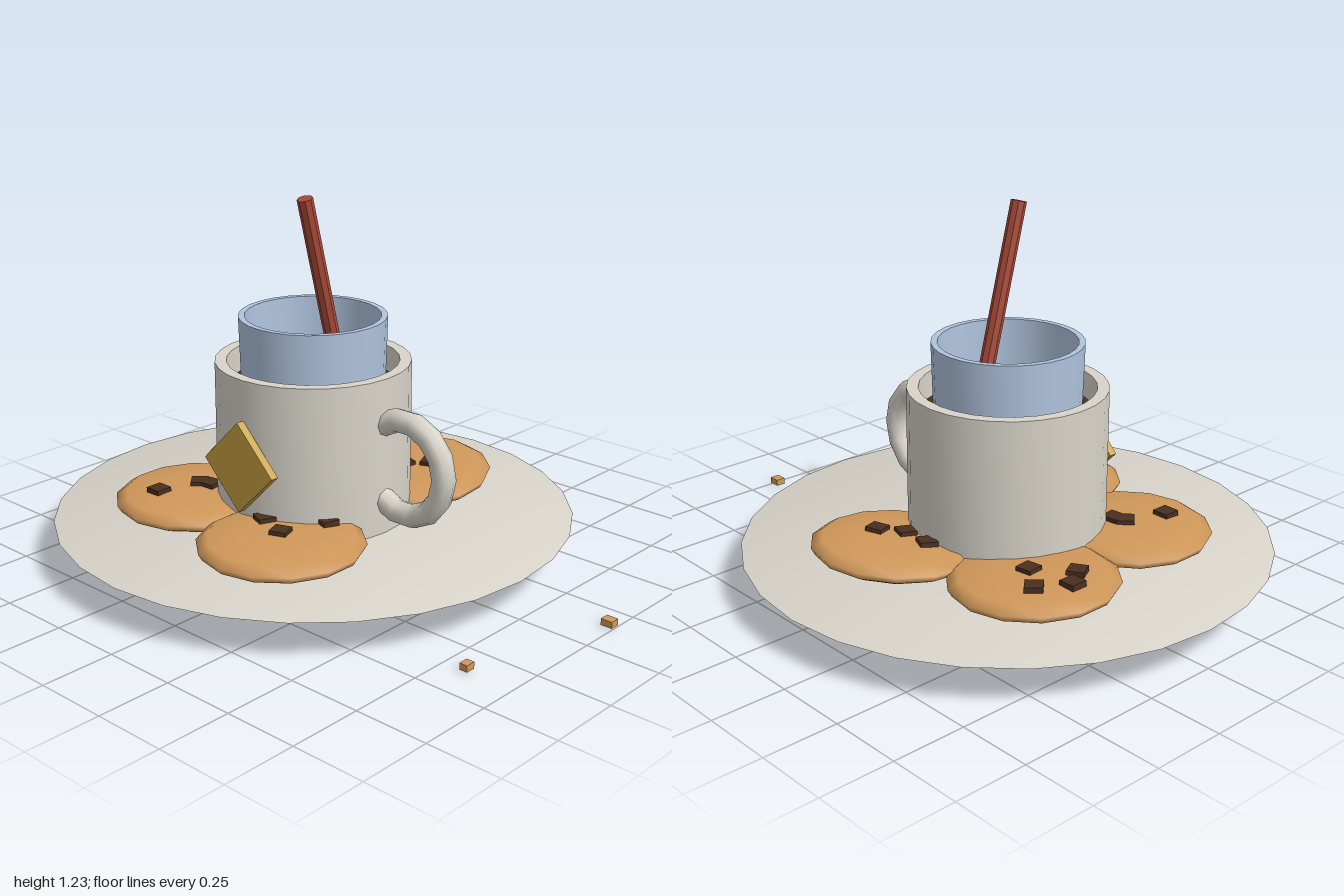
import * as THREE from 'three';
import { toCreasedNormals } from 'three/addons/utils/BufferGeometryUtils.js';

const CX = -0.125; // shared axis of saucer, mug and glass

function material(name, color) {
  const m = new THREE.MeshStandardMaterial({ color });
  m.name = name;
  return m;
}

function lathe(points, segments) {
  return new THREE.LatheGeometry(points.map(([r, y]) => new THREE.Vector2(r, y)), segments);
}

export function createModel() {
  const root = new THREE.Group();
  root.name = 'teaSet';
  const china = material('china', 0xd8d4ca);
  const glassBlue = material('paleBlue', 0xb0c4de);
  const biscuit = material('biscuit', 0xd0985a);
  const chocolate = material('chocolate', 0x4a3020);
  const cinnamon = material('cinnamon', 0xa84a38);
  const gold = material('gold', 0xc9a344);

  function add(name, geometry, mat, x = 0, y = 0, z = 0, parent = root) {
    const mesh = new THREE.Mesh(geometry, mat);
    mesh.name = name;
    mesh.position.set(x, y, z);
    parent.add(mesh);
    return mesh;
  }

  // Saucer: flared dish with a closed top, softly shaded over the rim
  add('saucer', lathe([[0, 0], [0.59, 0], [0.877, 0.13], [0, 0.13]], 28), china, CX);

  // Mug and the taller inner glass: hollow walls with crisp rims
  const mug = lathe([[0, 0.03], [0.327, 0.03], [0.327, 0.66], [0.288, 0.66], [0.288, 0.1], [0, 0.1]], 28);
  add('mug', toCreasedNormals(mug, 0.6), china, CX);
  const glass = lathe([[0, 0.04], [0.225, 0.04], [0.247, 0.81], [0.226, 0.81], [0.21, 0.12], [0, 0.12]], 28);
  add('innerGlass', toCreasedNormals(glass, 0.6), glassBlue, CX);
  add('drink', new THREE.CylinderGeometry(0.288, 0.288, 0.03, 28), chocolate, CX, 0.555);

  // Handle: ring whose inner side is buried in the mug wall
  add('handle', new THREE.TorusGeometry(0.16, 0.04, 8, 14), china, 0.28, 0.375);

  // Stick leaning forward out of the drink
  const top = new THREE.Vector3(-0.035, 1.228, 0.128);
  const foot = new THREE.Vector3(-0.035, 0.5, -0.062);
  const axis = top.clone().sub(foot);
  const stickShape = new THREE.CylinderGeometry(0.026, 0.026, axis.length(), 8);
  const stick = add('cinnamonStick', toCreasedNormals(stickShape, 0.6), cinnamon);
  stick.position.copy(foot).add(top).multiplyScalar(0.5);
  stick.quaternion.setFromUnitVectors(new THREE.Vector3(0, 1, 0), axis.normalize());

  // Diamond tag on the front of the mug
  add('tag', new THREE.BoxGeometry(0.218, 0.218, 0.028), gold, CX, 0.37, 0.34).rotation.z = Math.PI / 4;

  // Cookies with chocolate chunks; chunk positions are offsets from the cookie centre
  const cookieShape = lathe([[0, 0], [0.22, 0], [0.262, 0.02], [0.275, 0.042], [0.24, 0.066], [0.13, 0.074], [0, 0.076]], 14);
  const chunkShape = new THREE.BoxGeometry(0.058, 0.028, 0.058);
  const cookies = [
    { at: [-0.47, 0.13, -0.21], tilt: [0, -0.03], chunks: [[-0.1, -0.095], [0, -0.02], [-0.165, 0.005], [-0.115, 0.075]] },
    { at: [-0.015, 0.14, -0.39], tilt: [0.09, 0], chunks: [[0.065, -0.025], [-0.005, 0.035], [-0.11, 0.035]] },
    { at: [-0.415, 0.13, 0.275], tilt: [0, 0], chunks: [[-0.01, -0.025], [0.03, -0.04], [-0.06, 0.115]] },
    { at: [0.07, 0.13, 0.355], tilt: [0, 0], chunks: [[0.002, 0.005], [0.055, -0.155], [-0.11, -0.035]] },
  ];
  cookies.forEach(({ at, tilt, chunks }, i) => {
    const cookie = new THREE.Group();
    cookie.name = 'cookie' + (i + 1);
    cookie.position.set(...at);
    cookie.rotation.set(tilt[0], 0, tilt[1]);
    add('cookieBody', cookieShape, biscuit, 0, 0, 0, cookie);
    chunks.forEach(([x, z], j) => {
      add('chocolateChunk', chunkShape, chocolate, x, 0.075, z, cookie).rotation.y = [0.75, 0.1, 0, 0.5][j] - 0.4 * (i % 2);
    });
    root.add(cookie);
  });

  // Loose crumbs beside the saucer
  add('crumb', new THREE.BoxGeometry(0.04, 0.022, 0.034), biscuit, 0.98, 0.016, -0.148);
  add('crumb', new THREE.BoxGeometry(0.028, 0.022, 0.034), biscuit, 0.832, 0.016, 0.365);

  return root;
}
